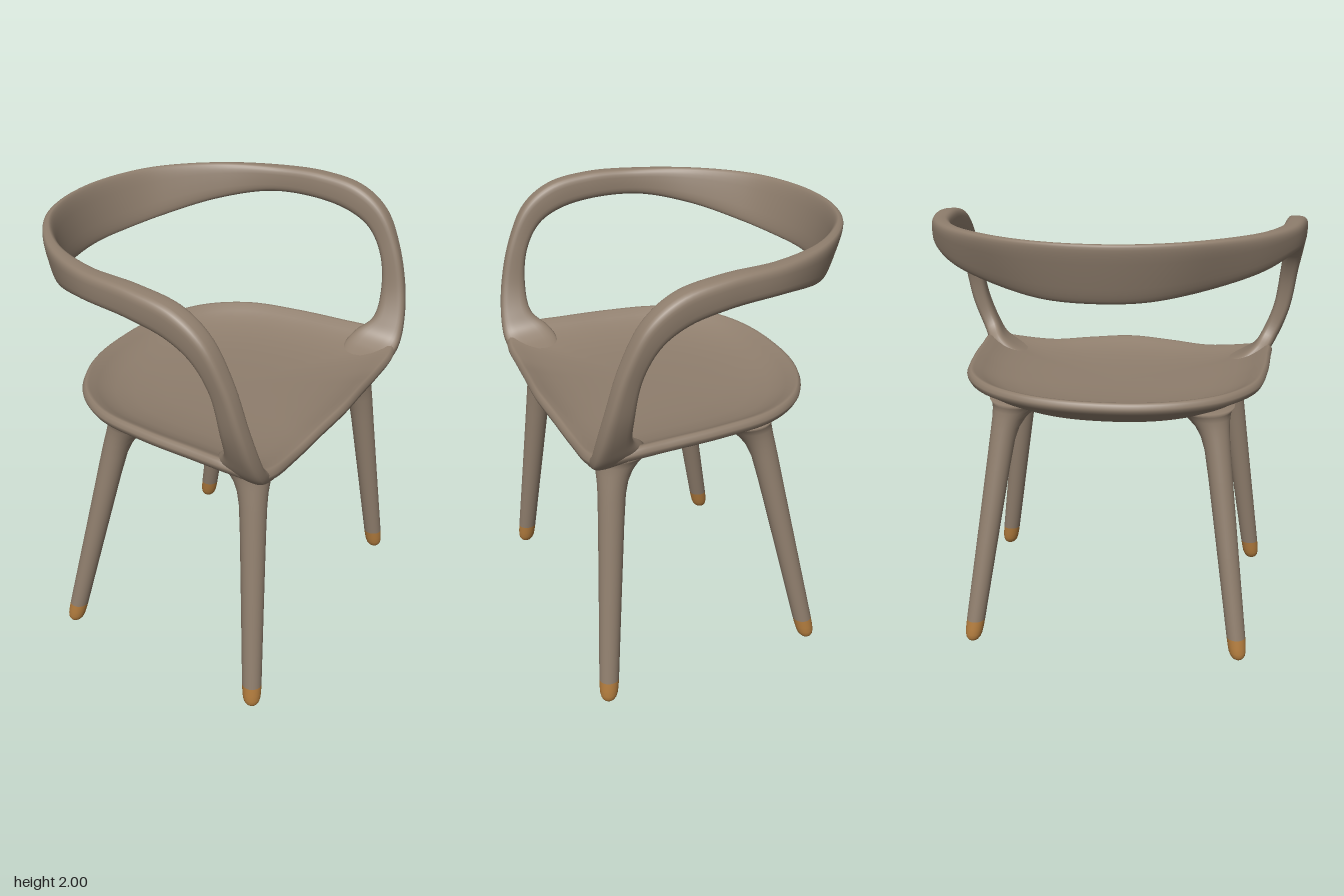
import * as THREE from 'three';

const V = (x, y, z) => new THREE.Vector3(x, y, z);

// Skins a list of closed rings (each right-handed about the stacking direction)
function loft(rings) {
  const n = rings[0].length, pos = [], idx = [];
  rings.forEach(r => r.forEach(p => pos.push(p.x, p.y, p.z)));
  for (let i = 0; i < rings.length - 1; i++) {
    for (let j = 0; j < n; j++) {
      const k = (j + 1) % n;
      const a = i * n + j, b = i * n + k, c = a + n, d = b + n;
      idx.push(a, b, d, a, d, c);
    }
  }
  const g = new THREE.BufferGeometry();
  g.setAttribute('position', new THREE.Float32BufferAttribute(pos, 3));
  g.setIndex(idx);
  g.computeVertexNormals();
  return g;
}

// Horizontal circle ring
function circle(c, r, n = 32) {
  return Array.from({ length: n }, (_, i) => {
    const a = (i / n) * Math.PI * 2;
    return V(c.x + r * Math.sin(a), c.y, c.z + r * Math.cos(a));
  });
}

// Dished seat shell: outline as [x, rim height, z], from back centre to front centre
function seatGeometry() {
  const half = [
    [-0.51, 1.285, 0], [-0.495, 1.286, 0.2], [-0.44, 1.287, 0.38], [-0.33, 1.288, 0.55],
    [-0.15, 1.288, 0.67], [0.1, 1.287, 0.715], [0.35, 1.285, 0.73], [0.53, 1.28, 0.735],
    [0.63, 1.255, 0.7], [0.662, 1.235, 0.62], [0.67, 1.22, 0.42], [0.685, 1.235, 0.22],
    [0.7, 1.247, 0],
  ].map(p => V(...p));
  const other = half.slice(1, -1).reverse().map(p => V(p.x, p.y, -p.z));
  const outline = new THREE.CatmullRomCurve3([...half, ...other], true);
  const N = 144;
  const rim = Array.from({ length: N }, (_, i) => outline.getPoint(i / N));
  const mix = THREE.MathUtils.lerp;
  const under = f => r => mix(1.115, r - 0.06, f);
  const edge = d => r => r - d;
  const dish = f => r => mix(1.185, r, f);
  const profile = [
    [0, under(0)], [0.35, under(0)], [0.6, under(0.06)], [0.75, under(0.3)], [0.86, under(0.62)],
    [0.95, edge(0.065)], [0.985, edge(0.052)], [0.998, edge(0.035)], [1, edge(0.024)],
    [0.99, edge(0.008)], [0.975, edge(0.001)], [0.955, edge(0.002)],
    [0.9, dish(0.74)], [0.85, dish(0.56)], [0.78, dish(0.37)], [0.65, dish(0.16)],
    [0.45, dish(0.04)], [0.2, dish(0)], [0, dish(0)],
  ];
  return loft(profile.map(([s, y]) => rim.map(p => V(mix(0.1, p.x, s), y(p.y), p.z * s))));
}

// Arm and back band: outer edge, inner edge and half thickness, front corner to back centre
function bandGeometry() {
  const half = [
    [[0.645, 1.17, 0.5], [0.42, 1.17, 0.5], 0.025],
    [[0.65, 1.185, 0.6], [0.41, 1.215, 0.61], 0.038],
    [[0.66, 1.23, 0.685], [0.44, 1.265, 0.675], 0.04],
    [[0.655, 1.32, 0.74], [0.505, 1.335, 0.72], 0.04],
    [[0.63, 1.47, 0.785], [0.515, 1.46, 0.77], 0.04],
    [[0.57, 1.68, 0.81], [0.488, 1.63, 0.795], 0.042],
    [[0.48, 1.85, 0.82], [0.42, 1.75, 0.81], 0.048],
    [[0.35, 1.945, 0.82], [0.32, 1.815, 0.81], 0.052],
    [[0.15, 1.985, 0.81], [0.15, 1.855, 0.805], 0.05],
    [[-0.1, 1.99, 0.77], [-0.1, 1.863, 0.765], 0.043],
    [[-0.35, 1.995, 0.65], [-0.325, 1.825, 0.63], 0.033],
    [[-0.56, 2, 0.43], [-0.5, 1.778, 0.39], 0.025],
    [[-0.652, 2, 0.22], [-0.582, 1.753, 0.2], 0.021],
    [[-0.682, 2, 0], [-0.61, 1.748, 0], 0.02],
  ];
  const flip = ([x, y, z]) => [x, y, -z];
  const all = [...half, ...half.slice(0, -1).reverse().map(([a, b, t]) => [flip(a), flip(b), t])];
  const outer = new THREE.CatmullRomCurve3(all.map(s => V(...s[0])));
  const inner = new THREE.CatmullRomCurve3(all.map(s => V(...s[1])));
  const thick = new THREE.CatmullRomCurve3(all.map((s, i) => V(i * 0.1, s[2], 0)));
  const centre = t => outer.getPoint(t).add(inner.getPoint(t)).multiplyScalar(0.5);
  const soft = v => Math.sign(v) * Math.abs(v) ** 0.6;
  const M = 180, K = 28, rings = [];
  for (let i = 0; i <= M; i++) {
    const t = i / M, c = centre(t);
    const dir = centre(Math.min(1, t + 0.002)).sub(centre(Math.max(0, t - 0.002))).normalize();
    const u = outer.getPoint(t).sub(inner.getPoint(t)).multiplyScalar(0.5);
    const v = dir.clone().cross(u).normalize().multiplyScalar(thick.getPoint(t).y);
    rings.push(Array.from({ length: K }, (_, j) => {
      const a = (j / K) * Math.PI * 2;
      return c.clone().addScaledVector(u, soft(Math.cos(a))).addScaledVector(v, soft(Math.sin(a)));
    }));
  }
  // close both hidden ends
  rings.unshift(rings[0].map(() => centre(0)));
  rings.push(rings[1].map(() => centre(1)));
  return loft(rings);
}

export function createModel() {
  const group = new THREE.Group();
  group.name = 'armchair';
  const wood = new THREE.MeshStandardMaterial({ color: 0x8f7e6d });
  wood.name = 'taupe wood';
  const tip = new THREE.MeshStandardMaterial({ color: 0xb27c3e });
  tip.name = 'amber foot';
  const add = (name, geometry, material) => {
    const mesh = new THREE.Mesh(geometry, material);
    mesh.name = name;
    group.add(mesh);
  };

  add('seat', seatGeometry(), wood);
  add('armAndBackBand', bandGeometry(), wood);

  // Splayed legs: [height, radius, inward shift], flaring into the seat
  const legProfile = [
    [0.11, 0.044, 0], [0.5, 0.05, 0], [0.85, 0.056, 0], [0.98, 0.06, 0.001], [1.04, 0.067, 0.006],
    [1.085, 0.08, 0.016], [1.12, 0.1, 0.03], [1.145, 0.12, 0.042], [1.165, 0.145, 0.05], [1.168, 0, 0.05],
  ];
  const footProfile = [
    [0, 0, 0], [0.003, 0.014, 0], [0.011, 0.026, 0], [0.024, 0.035, 0],
    [0.042, 0.04, 0], [0.07, 0.0425, 0], [0.11, 0.044, 0],
  ];
  const legs = [
    ['front', V(0.63, 0, 0.69), V(0.535, 1, 0.545)],
    ['rear', V(-0.405, 0, 0.64), V(-0.205, 1, 0.5)],
  ];
  for (const [label, foot, top] of legs) {
    for (const side of [1, -1]) {
      const ring = ([y, r, shift]) => {
        const c = foot.clone().lerp(top, y);
        return circle(V(c.x - Math.sign(foot.x) * shift, y, (c.z - shift) * side), r);
      };
      const name = label + (side > 0 ? 'LegPositiveZ' : 'LegNegativeZ');
      add(name, loft(legProfile.map(ring)), wood);
      add(name + 'Foot', loft(footProfile.map(ring)), tip);
    }
  }
  return group;
}
